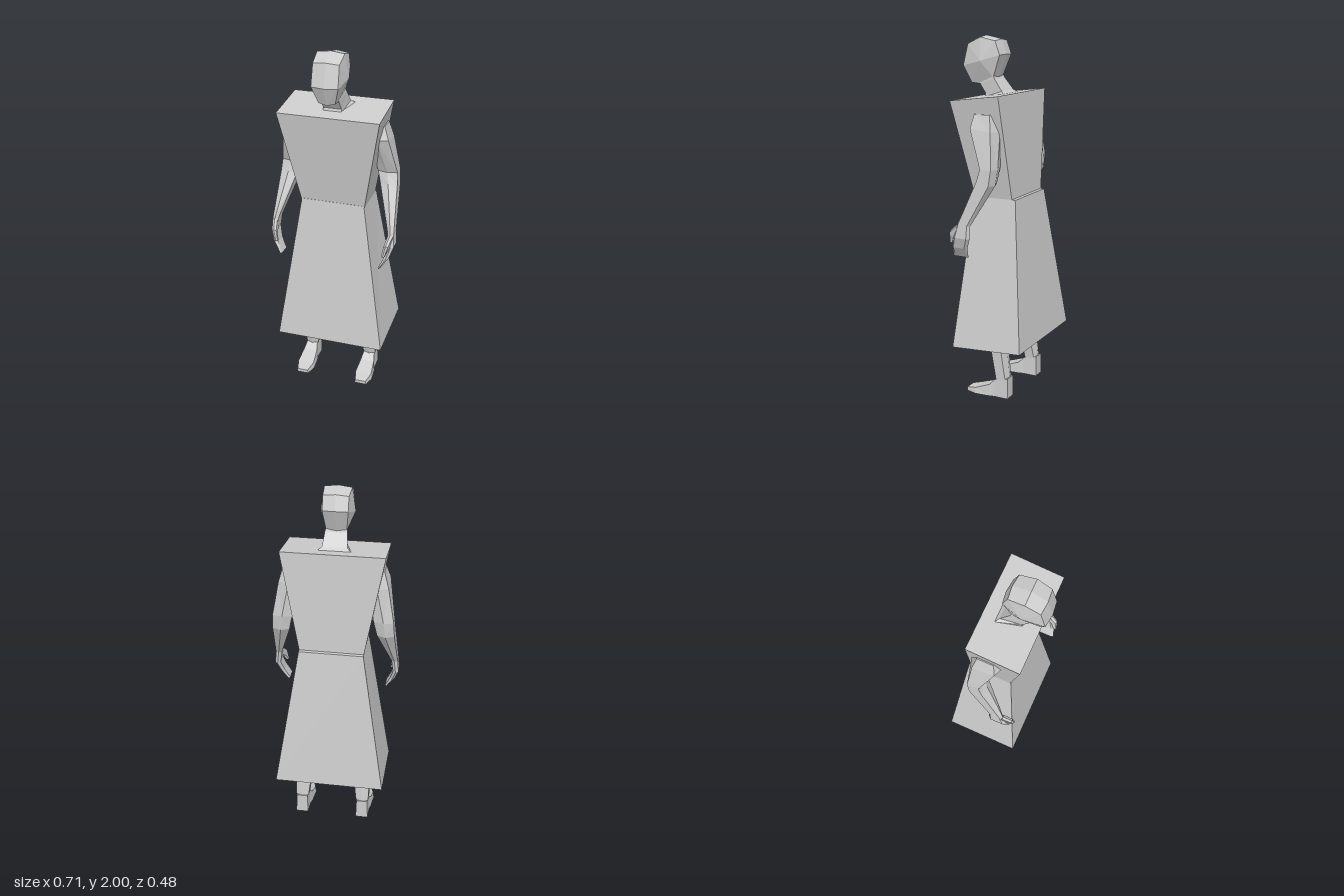
import * as THREE from 'three';

// Skin a list of equal-length point rings, with flat facets and closed ends
function loft(rings) {
  const n = rings[0].length, tris = [];
  for (let r = 0; r < rings.length - 1; r++) {
    for (let i = 0; i < n; i++) {
      const j = (i + 1) % n;
      const a = rings[r][i], b = rings[r][j], c = rings[r + 1][j], d = rings[r + 1][i];
      tris.push([a, b, c], [a, c, d]);
    }
  }
  const first = rings[0], last = rings[rings.length - 1];
  for (let i = 1; i < n - 1; i++) {
    tris.push([first[0], first[i + 1], first[i]], [last[0], last[i], last[i + 1]]);
  }
  // Signed volume decides which way the facets must wind
  const v = (p) => new THREE.Vector3(...p);
  let volume = 0;
  for (const [a, b, c] of tris) volume += v(a).dot(v(b).cross(v(c)));
  const pos = tris.flatMap(([a, b, c]) => (volume < 0 ? [a, c, b] : [a, b, c])).flat();
  const geo = new THREE.BufferGeometry();
  geo.setAttribute('position', new THREE.Float32BufferAttribute(pos, 3));
  geo.computeVertexNormals();
  return geo;
}

// Four-cornered ring, with separate heights and widths at front and back
const quad = (x, xBack, front, back, cx = 0) => [
  [cx + x, front[0], front[1]], [cx + xBack, back[0], back[1]],
  [cx - xBack, back[0], back[1]], [cx - x, front[0], front[1]],
];

// Six-sided limb ring: bevelled at front and back, flat inside and outside
const limb = (xIn, xOut, front, back, bevel = 0.15) => {
  const mix = (t) => [0, 1].map((k) => front[k] + (back[k] - front[k]) * t);
  const [f, b, xm] = [mix(bevel), mix(1 - bevel), (xIn + xOut) / 2];
  return [
    [xm, ...front], [xOut, ...f], [xOut, ...b],
    [xm, ...back], [xIn, ...b], [xIn, ...f],
  ];
};

export function createModel() {
  const model = new THREE.Group();
  model.name = 'robedFigure';
  const clay = new THREE.MeshStandardMaterial({ color: 0xcccccc });
  clay.name = 'pale grey';
  const add = (name, rings, side = 1) => {
    const mirrored = rings.map((ring) => ring.map(([x, y, z]) => [x * side, y, z]));
    const mesh = new THREE.Mesh(loft(mirrored), clay);
    mesh.name = name;
    model.add(mesh);
  };

  // Robe: flared skirt and a boxy upper body, pairs are [y, z]
  add('skirt', [
    quad(0.31, 0.31, [0.29, 0.18], [0.32, -0.24]),
    quad(0.178, 0.178, [1.15, 0.105], [1.14, -0.145]),
  ]);
  add('torso', [
    quad(0.178, 0.178, [1.13, 0.1], [1.14, -0.125]),
    quad(0.28, 0.28, [1.665, 0.195], [1.7, -0.095]),
  ]);

  // Neck, leaning forward with a wide collar at the back
  add('neck', [
    quad(0.05, 0.09, [1.67, 0.11], [1.69, -0.025]),
    quad(0.05, 0.068, [1.69, 0.105], [1.705, -0.005]),
    quad(0.048, 0.06, [1.74, 0.14], [1.77, 0.045]),
    quad(0.045, 0.05, [1.8, 0.16], [1.83, 0.07]),
  ]);

  // Head: profile points [y, z, half width], lofted from ear to ear
  const profile = [
    [2.0, 0.125, 0.074], [1.98, 0.03, 0.068], [1.9, 0.0, 0.068], [1.77, 0.05, 0.055],
    [1.73, 0.145, 0.045], [1.735, 0.2, 0.045], [1.835, 0.24, 0.072], [1.96, 0.21, 0.07],
  ];
  const centre = [1.865, 0.115];
  const slice = (side, scale) => profile.map(([y, z, w]) => [
    side * w,
    centre[0] + (y - centre[0]) * scale,
    centre[1] + (z - centre[1]) * scale,
  ]);
  const ear = (side) => profile.map(() => [side * 0.094, ...centre]);
  add('head', [ear(-1), slice(-1, 0.93), slice(0, 1), slice(1, 0.93), ear(1)]);

  for (const [label, side] of [['left', 1], ['right', -1]]) {
    // Arm, bent forward at the elbow
    add(label + 'Arm', [
      limb(0.17, 0.27, [1.6, 0.07], [1.6, -0.06]),
      limb(0.18, 0.295, [1.53, 0.09], [1.51, -0.085]),
      limb(0.222, 0.33, [1.32, 0.0], [1.32, -0.092]),
      limb(0.24, 0.335, [1.26, 0.02], [1.23, -0.082]),
      limb(0.315, 0.35, [1.02, 0.122], [1.01, 0.045]),
    ], side);
    // Hand, curling inwards
    add(label + 'Hand', [
      limb(0.315, 0.35, [1.02, 0.122], [1.01, 0.045]),
      limb(0.325, 0.356, [0.94, 0.145], [0.94, 0.045]),
      limb(0.308, 0.335, [0.88, 0.165], [0.88, 0.07]),
      limb(0.28, 0.292, [0.82, 0.178], [0.82, 0.085]),
    ], side);
    add(label + 'Thumb', [
      limb(0.32, 0.348, [1.01, 0.13], [0.96, 0.1]),
      limb(0.31, 0.335, [0.965, 0.178], [0.93, 0.145]),
      limb(0.3, 0.318, [0.9, 0.184], [0.9, 0.165]),
    ], side);

    // Lower leg
    add(label + 'Leg', [
      limb(0.11, 0.23, [0.5, 0.03], [0.5, -0.08]),
      limb(0.122, 0.222, [0.3, 0.0], [0.3, -0.09]),
      limb(0.145, 0.218, [0.1, -0.035], [0.12, -0.115]),
    ], side);
    // Foot, lofted from heel to toe as [z, top, half width]
    const foot = [[-0.118, 0.12, 0.036], [-0.035, 0.1, 0.037], [-0.005, 0.068, 0.045],
      [0.08, 0.035, 0.053], [0.142, 0.02, 0.035]];
    add(label + 'Foot', foot.map(([z, top, w]) => [
      [0.182 - w, 0, z], [0.182 + w, 0, z], [0.182 + w * 0.9, top, z], [0.182 - w * 0.9, top, z],
    ]), side);
  }
  return model;
}
